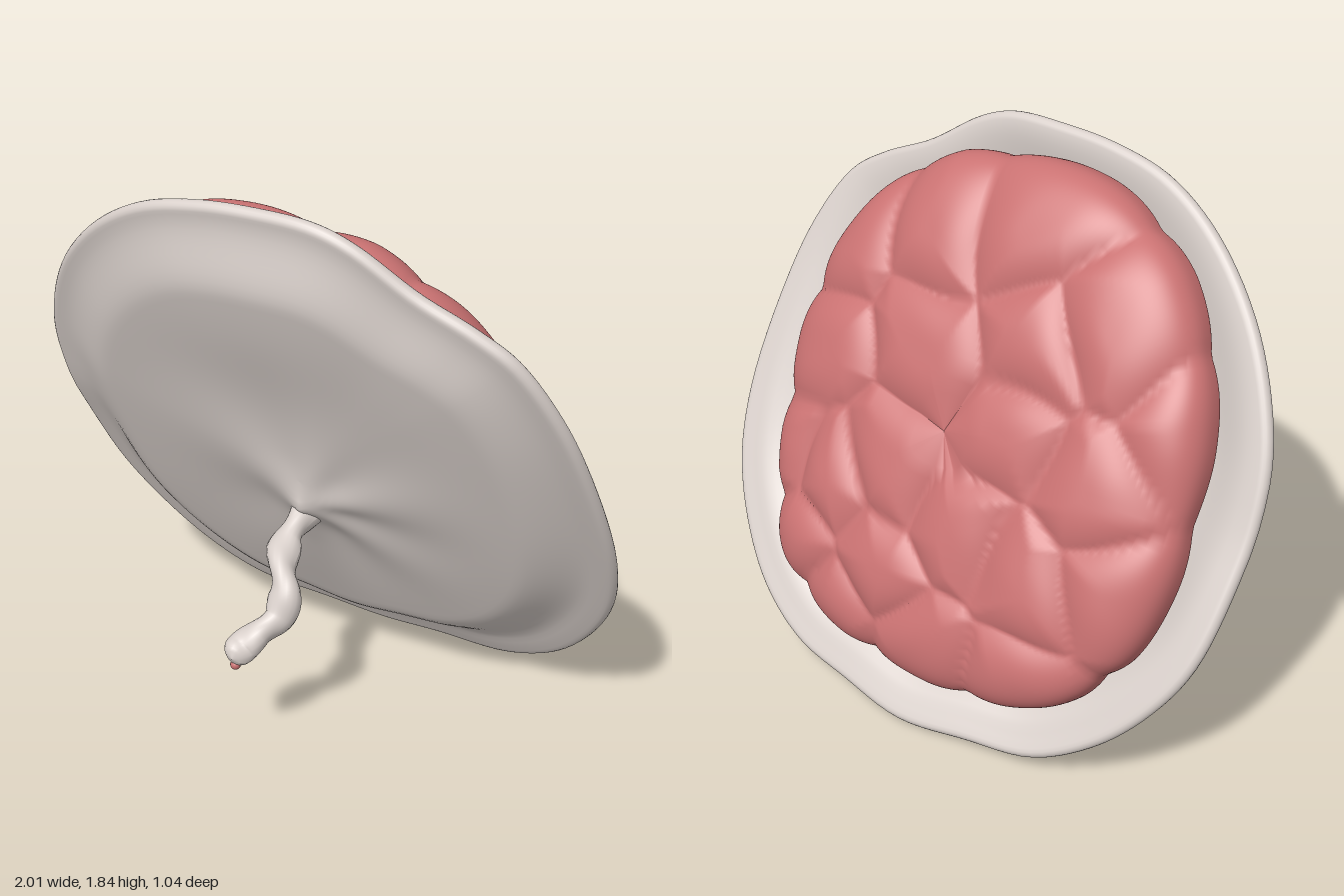
import * as THREE from 'three';

const V = (x, y, z = 0) => new THREE.Vector3(x, y, z);
const smooth = THREE.MathUtils.smoothstep;

// Surface swept round the z axis: rows run along the profile, columns round it
function ringSurface(rows, cols, pointAt) {
  const pos = [], index = [];
  for (let i = 0; i <= rows; i++)
    for (let j = 0; j < cols; j++) pos.push(...pointAt(i / rows, j / cols).toArray());
  for (let i = 0; i < rows; i++)
    for (let j = 0; j < cols; j++) {
      const a = i * cols + j, d = i * cols + (j + 1) % cols;
      index.push(a, a + cols, d + cols, a, d + cols, d);
    }
  const g = new THREE.BufferGeometry();
  g.setAttribute('position', new THREE.Float32BufferAttribute(pos, 3));
  g.setIndex(index);
  g.computeVertexNormals();
  return g;
}

// Closed smooth outline through a few points, counter-clockwise
const outline = pts => new THREE.CatmullRomCurve3(pts.map(p => V(p[0], p[1])), true);

const rim = outline([
  [1, -.2], [.975, .15], [.91, .43], [.8, .64], [.68, .73], [.5, .82], [.32, .945], [.2, .99],
  [0, 1], [-.2, .99], [-.4, .945], [-.6, .83], [-.8, .63], [-.93, .41], [-.995, .2], [-.995, -.18],
  [-.95, -.44], [-.85, -.63], [-.7, -.8], [-.5, -.93], [-.25, -.98], [0, -1.02],
  [.25, -.99], [.5, -.95], [.7, -.84], [.85, -.67], [.96, -.45],
]);

const massEdge = outline([
  [.73, 0], [.72, .25], [.64, .5], [.47, .73], [.26, .85], [0, .9], [-.28, .88], [-.52, .77],
  [-.73, .52], [-.83, .2], [-.84, -.2], [-.76, -.49], [-.58, -.7], [-.3, -.81], [0, -.83],
  [.3, -.8], [.56, -.67], [.68, -.4],
]);

// Centres of the lobes
const lobes = [
  [-.1, .69], [-.5, .46], [.21, .58], [.57, .49], [-.24, .33], [.15, .245], [-.57, .04],
  [-.22, .06], [.59, .06], [.146, -.157], [-.16, -.28], [-.42, -.37], [.62, -.27], [.4, -.33],
  [.146, -.51], [-.07, -.72], [.52, -.58], [.27, -.74], [-.74, -.3], [-.48, -.68], [-.77, .25],
];

// 0 in the creases between lobes, 1 on their crowns
function lobeHeight(px, py) {
  const x = px + .025 * Math.sin(9 * py), y = py + .025 * Math.sin(9 * px + 1);
  let d1 = 9, d2 = 9;
  for (const [a, b] of lobes) {
    const d = Math.hypot(x - a, y - b);
    if (d < d1) { d2 = d1; d1 = d; } else if (d < d2) d2 = d;
  }
  const f = Math.min((d2 - d1) / .3, 1);
  return 1 - (1 - f) ** 2.4;
}

// Front height of the membrane, drawn up into a tent where the cord joins
function membraneHeight(p, t) {
  const a = Math.atan2(p.y, p.x), up = Math.sin(a), left = Math.max(0, -Math.cos(a));
  const fall = smooth(t, .74 + .02 * up, .96 + .04 * up);
  const dx = p.x, dy = p.y + .1, d = Math.hypot(dx, dy), b = Math.atan2(dy, dx);
  const folds = (.006 * Math.sin(5 * b + 2 * Math.sin(b)) + .004 * Math.sin(3 * b + 1))
    * smooth(d, .02, .2) * (1 - smooth(d, .25, .7));
  const hollow = .022 * Math.exp(-(((p.x + .05) / .45) ** 2) - ((p.y - .3) / .28) ** 2);
  const lift = (.045 - .045 * up ** 8 + .02 * up ** 7 + .01 * Math.sin(3 * a + .6)
    - .035 * left * Math.abs(Math.sin(2 * a))) * smooth(t, .75, 1);
  return .022 + .09 * (1 - fall) + .075 * (1 - t * t) + .07 * Math.exp(-d / .1) + folds - hollow + lift;
}

function membraneGeometry() {
  const r = .025;
  return ringSurface(96, 144, (u, v) => {
    const edge = rim.getPoint(v);
    // front face outward, round the rolled rim, then back face inward
    let t, dz;
    if (u < .45) { t = u / .45; dz = 0; }
    else if (u > .55) { t = (1 - u) / .45; dz = -2 * r; }
    else { t = 1; dz = -r + r * Math.cos((u - .45) / .1 * Math.PI); }
    const roll = u < .45 || u > .55 ? 0 : r * Math.sin((u - .45) / .1 * Math.PI);
    const p = edge.clone().multiplyScalar(t * (1 - r) + roll);
    p.z = membraneHeight(p, t) + dz;
    return p;
  });
}

function massGeometry() {
  const mid = -.04;
  return ringSurface(120, 240, (u, v) => {
    const edge = massEdge.getPoint(v);
    const front = u < .3;                            // hidden side, lying in the dish
    const q = (front ? u / .3 : (1 - u) / .7) * Math.PI / 2;
    const k = Math.sin(q) ** .5;
    const h = lobeHeight(edge.x * k, edge.y * k);
    const p = edge.multiplyScalar(k * (1 - .028 * (1 - h) * k));
    const rise = Math.max(Math.cos(q), 0);
    p.z = mid + (front ? .1 * rise ** .6 : -(rise ** .75) * (.165 + .04 * h));
    return p;
  });
}

// Twisted cord: a tube whose radius swells in a spiral
function cordGeometry(path) {
  const rows = 90, cols = 20, g = new THREE.TubeGeometry(path, rows, 1, cols);
  const pos = g.attributes.position, p = V(0, 0);
  for (let i = 0; i <= rows; i++) {
    const t = i / rows, c = path.getPointAt(t);
    const close = Math.sqrt(Math.max(0, 1 - Math.max(0, (t - .93) / .07) ** 2));
    for (let j = 0; j <= cols; j++) {
      const k = i * (cols + 1) + j, a = j / cols * Math.PI * 2;
      const r = (.047 + .006 * Math.cos(2 * a - t * 20) + .004 * Math.sin(t * 24)) * close;
      p.fromBufferAttribute(pos, k).sub(c).multiplyScalar(r).add(c);
      pos.setXYZ(k, p.x, p.y, p.z);
    }
  }
  g.computeVertexNormals();
  return g;
}

export function createModel() {
  const pale = new THREE.MeshStandardMaterial({ color: 0xd9d0cb });
  pale.name = 'pale membrane';
  const red = new THREE.MeshStandardMaterial({ color: 0xca7272 });
  red.name = 'soft red';

  const model = new THREE.Group();
  model.name = 'model';
  const add = (parent, name, geometry, material) => {
    const m = new THREE.Mesh(geometry, material);
    m.name = name;
    parent.add(m);
    return m;
  };

  // Tilted disc: shallow membrane dish holding the lobed mass on its back
  const disc = new THREE.Group();
  disc.name = 'disc';
  disc.position.set(0, .93, -.04);
  disc.rotation.x = .4236;
  model.add(disc);
  add(disc, 'membrane', membraneGeometry(), pale);
  add(disc, 'lobedMass', massGeometry(), red);

  // Cord hanging from the front, with a red cut end
  const path = new THREE.CatmullRomCurve3([
    V(0, .73, .03), V(-.01, .69, .11), V(-.02, .645, .19), V(.015, .61, .27),
    V(.06, .545, .33), V(.06, .475, .365), V(.015, .43, .42), V(-.015, .395, .475), V(-.015, .385, .53),
  ]);
  add(model, 'cord', cordGeometry(path), pale);
  const tip = add(model, 'cordTip', new THREE.SphereGeometry(.017, 16, 12), red);
  tip.position.set(-.015, .354, .509);
  return model;
}
